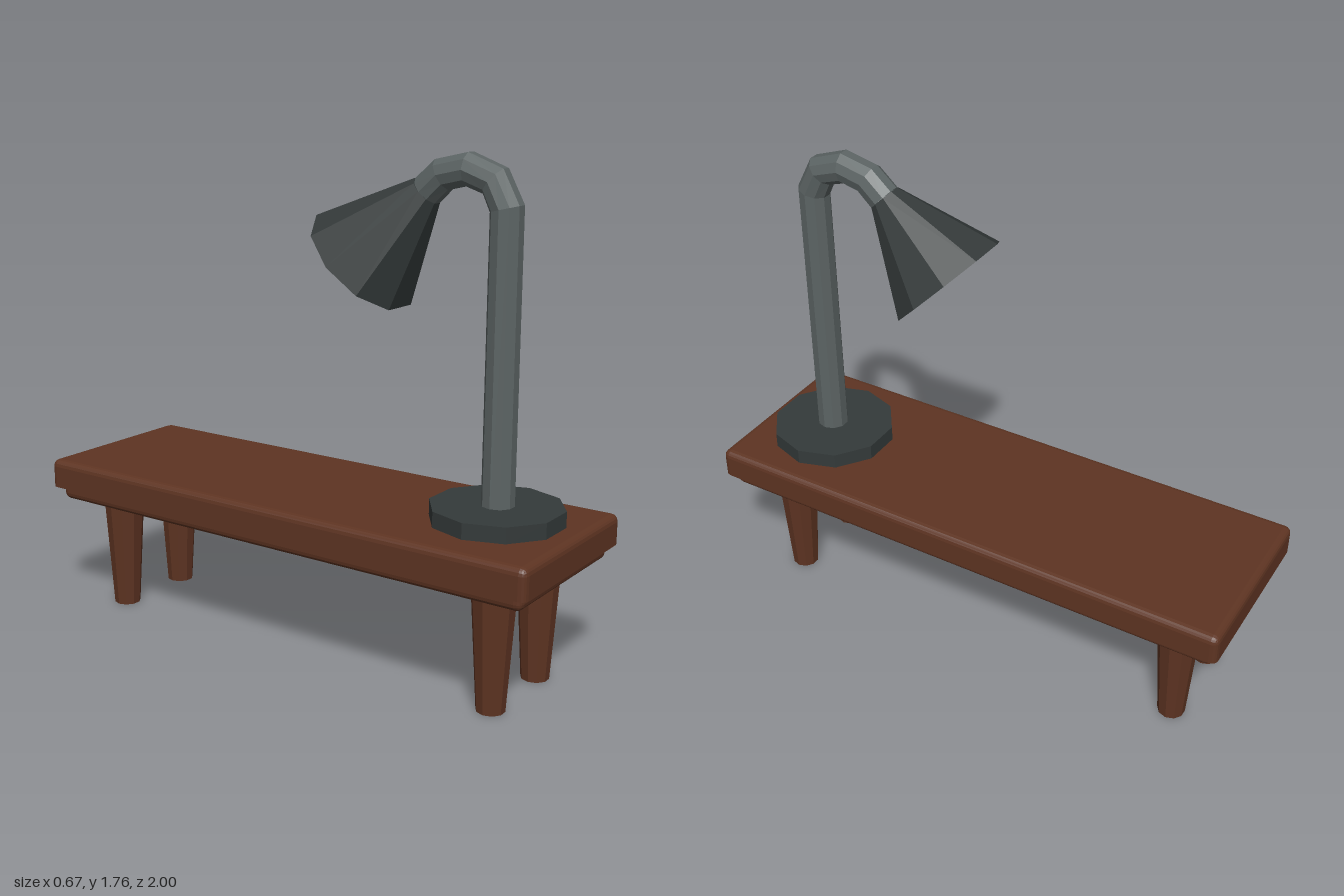
import * as THREE from 'three';
import { RoundedBoxGeometry } from 'three/addons/geometries/RoundedBoxGeometry.js';

const SIDES = 10;
const paint = (color, side = THREE.FrontSide) =>
  new THREE.MeshStandardMaterial({ color, flatShading: true, side });

function add(parent, name, geometry, material, x = 0, y = 0, z = 0) {
  const mesh = new THREE.Mesh(geometry, material);
  mesh.name = name;
  mesh.position.set(x, y, z);
  parent.add(mesh);
  return mesh;
}

// Board from y = 0 to h, rounded on one horizontal face and square on the other
function board(w, h, d, r, roundedBelow) {
  const g = new RoundedBoxGeometry(w, h + r, d, 2, r);
  const p = g.attributes.position;
  const cut = -(h + r) / 2 + r;
  for (let i = 0; i < p.count; i++) p.setY(i, Math.max(p.getY(i), cut) - cut);
  if (roundedBelow) g.rotateZ(Math.PI).translate(0, h, 0);
  return g;
}

// Ten-sided pipe swept along [z, y] points, with mitred bends
function bentPipe(path, radius) {
  const pts = path.map(([z, y]) => new THREE.Vector2(z, y));
  const pos = [], index = [];
  pts.forEach((p, i) => {
    const dir = new THREE.Vector2();
    if (i > 0) dir.add(p.clone().sub(pts[i - 1]).normalize());
    if (i < pts.length - 1) dir.add(pts[i + 1].clone().sub(p).normalize());
    dir.normalize();
    for (let s = 0; s < SIDES; s++) {
      const a = (s / SIDES) * Math.PI * 2, n = radius * Math.sin(a);
      pos.push(radius * Math.cos(a), p.y - dir.x * n, p.x + dir.y * n);
      if (i === pts.length - 1) continue;
      const a0 = i * SIDES + s, b0 = i * SIDES + (s + 1) % SIDES;
      index.push(a0, a0 + SIDES, b0, b0, a0 + SIDES, b0 + SIDES);
    }
  });
  const g = new THREE.BufferGeometry();
  g.setAttribute('position', new THREE.Float32BufferAttribute(pos, 3));
  g.setIndex(index);
  g.computeVertexNormals();
  return g;
}

const lathe = (profile) => new THREE.LatheGeometry(
  profile.map(([r, y]) => new THREE.Vector2(r, y)), SIDES).rotateY(Math.PI / 2);

export function createModel() {
  const model = new THREE.Group();
  model.name = 'benchWithLamp';
  const wood = paint(0x5e3422);
  const darkMetal = paint(0x343a3a, THREE.DoubleSide);
  const pipeMetal = paint(0x5c6464, THREE.DoubleSide);
  const glow = paint(0xd8632f);

  // Bench
  const bench = new THREE.Group();
  bench.name = 'bench';
  model.add(bench);
  add(bench, 'benchTop', board(0.665, 0.105, 2, 0.025, false), wood, 0, 0.47, 0);
  add(bench, 'underBoard', board(0.61, 0.055, 1.945, 0.025, true), wood, 0, 0.42, 0);
  const leg = new THREE.CylinderGeometry(0.077, 0.049, 0.44, SIDES).rotateY(Math.PI / 2);
  for (const x of [-0.154, 0.152])
    for (const z of [-0.8, 0.8]) add(bench, 'leg', leg, wood, x, 0.22, z);

  // Lamp foot and bent stem
  const lamp = new THREE.Group();
  lamp.name = 'lamp';
  lamp.position.x = 0.019;
  model.add(lamp);
  const foot = new THREE.CylinderGeometry(0.227, 0.227, 0.057, SIDES).rotateY(Math.PI / 2);
  add(lamp, 'lampFoot', foot, darkMetal, 0, 0.6015, 0.707);
  add(lamp, 'lampStem', bentPipe([[0.71, 0.6], [0.71, 1.59], [0.667, 1.673],
    [0.573, 1.706], [0.48, 1.685], [0.42, 1.63]], 0.056), pipeMetal);

  // Lamp head: local origin at the rim centre, +y runs up to the neck
  const head = new THREE.Group();
  head.name = 'lampHead';
  head.position.set(0, 1.387, 0.175);
  head.rotation.x = Math.PI / 4;
  lamp.add(head);
  add(head, 'shade', lathe([[0.205, 0], [0.2175, 0], [0.057, 0.345], [0, 0.345],
    [0, 0.33], [0.048, 0.33], [0.205, 0]]), darkMetal);
  add(head, 'bulb', lathe([[0, 0.04], [0.055, 0.053], [0.09, 0.09], [0.098, 0.135],
    [0.08, 0.18], [0.045, 0.235], [0.036, 0.33]]), glow);

  return model;
}
